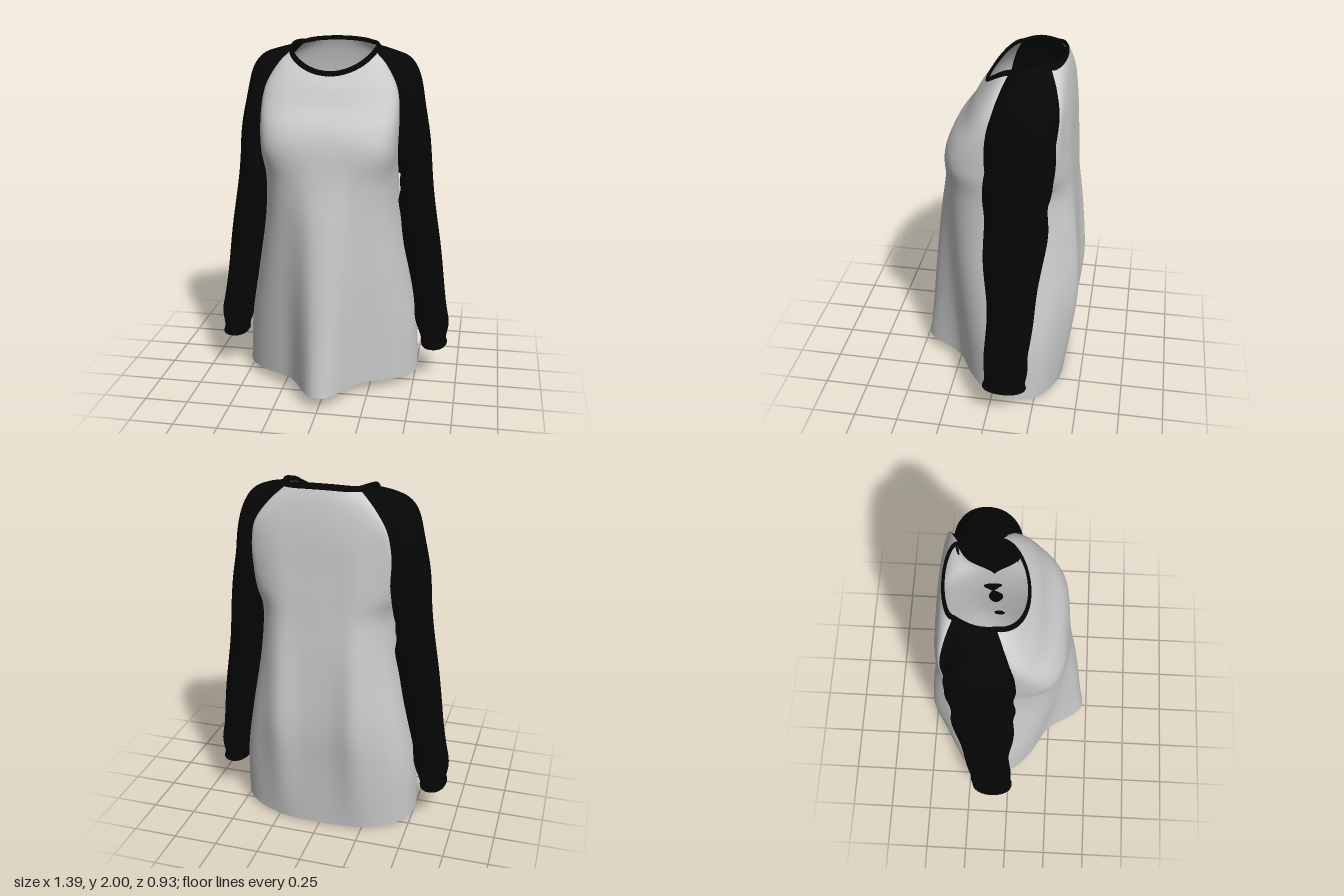
import * as THREE from 'three';
import { mergeGeometries, mergeVertices } from 'three/addons/utils/BufferGeometryUtils.js';

const V = (x, y, z) => new THREE.Vector3(x, y, z);

// Catmull-Rom blend of rows of numbers at position t (0 .. rows.length - 1)
function spline(rows, t) {
  const last = rows.length - 1;
  const k = Math.min(Math.floor(t), last - 1), f = t - k;
  const row = (i) => rows[Math.max(0, Math.min(last, i))];
  const [p, q, r, s] = [row(k - 1), row(k), row(k + 1), row(k + 2)];
  return q.map((v, i) => v + 0.5 * f * (r[i] - p[i]
    + f * (2 * p[i] - 5 * v + 4 * r[i] - s[i] + f * (3 * (v - r[i]) + s[i] - p[i]))));
}

// Skin over rows of points, optionally closed around each row
function skin(rows, closed) {
  const n = rows[0].length, index = [];
  for (let j = 0; j < rows.length - 1; j++) {
    for (let i = 0; i < (closed ? n : n - 1); i++) {
      const a = j * n + i, b = j * n + (i + 1) % n;
      index.push(a, b, b + n, a, b + n, a + n);
    }
  }
  const g = new THREE.BufferGeometry().setFromPoints(rows.flat());
  g.setIndex(index);
  return g;
}

// Panel rows: edge x, y, z | centre y, z | squareness | fold depth
const FRONT = [
  [0.515, 0.04, -0.10, 0.075, 0.26, 1.8, 0.21],
  [0.500, 0.35, -0.12, 0.36, 0.27, 2.0, 0.165],
  [0.450, 0.65, -0.13, 0.66, 0.285, 2.3, 0.12],
  [0.390, 1.00, -0.13, 1.00, 0.295, 2.7, 0.07],
  [0.372, 1.25, -0.12, 1.25, 0.30, 3.1, 0.025],
  [0.378, 1.40, 0.00, 1.45, 0.302, 3.6, 0],
  [0.385, 1.55, 0.03, 1.56, 0.268, 3.2, 0],
  [0.383, 1.68, 0.02, 1.67, 0.190, 2.8, 0],
  [0.360, 1.78, 0.00, 1.76, 0.140, 2.4, 0],
  [0.300, 1.88, -0.03, 1.805, 0.108, 2.1, 0],
  [0.240, 1.94, -0.06, 1.828, 0.09, 2, 0],
];
const BACK = [
  [0.515, 0.04, -0.10, 0.00, -0.39, 2.5, 0.005],
  [0.500, 0.35, -0.12, 0.35, -0.415, 2.6, 0.03],
  [0.450, 0.65, -0.13, 0.65, -0.435, 2.7, 0.042],
  [0.390, 1.00, -0.13, 1.00, -0.425, 2.6, 0.035],
  [0.372, 1.25, -0.12, 1.25, -0.41, 2.6, 0.02],
  [0.375, 1.40, -0.26, 1.41, -0.40, 2.4, 0.012],
  [0.380, 1.55, -0.31, 1.56, -0.39, 2.2, 0.01],
  [0.375, 1.68, -0.33, 1.70, -0.383, 2, 0.005],
  [0.350, 1.79, -0.335, 1.82, -0.37, 2, 0],
  [0.280, 1.89, -0.31, 1.92, -0.352, 2, 0],
  [0.200, 1.965, -0.272, 1.98, -0.333, 2, 0],
];
const TOP = 10, ARMPIT = 4, COLS = 56;

// One row across a panel, from the right edge to the left edge
function panelRow(table, t) {
  const [xe, ye, ze, yc, zc, n, fold] = spline(table, t);
  const pts = [];
  for (let i = 0; i <= COLS; i++) {
    const a = (i / COLS - 0.5) * Math.PI;
    const s = Math.sin(a), c = Math.abs(Math.cos(a));
    const r = (Math.abs(s) ** n + c ** n) ** (-1 / n);
    const x = xe * s * r;
    const d = table === FRONT ? fold * Math.exp(-((Math.abs(x) / 0.145) ** 2.7))
      : -fold * Math.exp(-(((Math.abs(x) - 0.22) / 0.09) ** 2));
    pts.push(V(x, ye + (yc - ye) * c ** 1.6, ze + (zc - ze) * c * r + d * Math.min(1, c * 3)));
  }
  return table === BACK ? pts.reverse() : pts;
}

function panel(table) {
  const rows = [];
  for (let j = 0; j <= 80; j++) rows.push(panelRow(table, j / 80 * TOP));
  return skin(rows, false);
}

const seam = (table, t) => V(...spline(table, t).slice(0, 3));

// Side of the neck opening between the front and back raglan seams
function neckSide(f) {
  const p = seam(FRONT, TOP).lerp(seam(BACK, TOP), f);
  p.x += 0.028 * Math.sin(f * Math.PI);
  p.y += 0.012 * Math.sin(f * Math.PI);
  return p;
}

// Sleeve rings: inner x, y | outer x, y | centre z, half depth
const SLEEVE = [
  [0.390, 1.23, 0.340, 1.943, -0.145, 0.175],
  [0.388, 1.20, 0.422, 1.908, -0.147, 0.183],
  [0.386, 1.17, 0.472, 1.830, -0.145, 0.180],
  [0.384, 1.14, 0.510, 1.690, -0.138, 0.170],
  [0.380, 1.09, 0.538, 1.510, -0.135, 0.172],
  [0.384, 1.02, 0.563, 1.290, -0.133, 0.168],
  [0.405, 0.88, 0.600, 1.000, -0.130, 0.155],
  [0.444, 0.69, 0.639, 0.720, -0.120, 0.132],
  [0.482, 0.48, 0.676, 0.460, -0.110, 0.122],
  [0.496, 0.36, 0.692, 0.340, -0.105, 0.125],
  [0.530, 0.255, 0.682, 0.250, -0.100, 0.116],
  [0.535, 0.210, 0.688, 0.218, -0.098, 0.125],
];
const AROUND = 48;

function sleeveGeometry() {
  // Armhole loop: up the front seam, past the neck, down the back seam
  const armhole = [];
  for (let i = 0; i < AROUND; i++) {
    if (i <= 20) armhole.push(seam(FRONT, ARMPIT + (TOP - ARMPIT) * i / 20));
    else if (i < 28) armhole.push(neckSide((i - 20) / 8));
    else armhole.push(seam(BACK, TOP - (TOP - ARMPIT) * (i - 28) / 20));
  }
  const rings = SLEEVE.map(([xi, yi, xo, yo, zc, zr]) => armhole.map((_, i) => {
    const a = i / AROUND * 2 * Math.PI, s = Math.sin(a), c = Math.cos(a);
    const r = (Math.abs(s) ** 2.15 + Math.abs(c) ** 2.15) ** (-1 / 2.15);
    const u = 0.5 - 0.5 * c * r;
    return V(xi + (xo - xi) * u, yi + (yo - yi) * u, zc + zr * s * r);
  }));
  const flat = [armhole, ...rings].map((ring) => ring.flatMap((p) => p.toArray()));
  const rows = [], steps = 84;
  for (let j = steps; j >= 0; j--) {
    const f = j / steps, row = spline(flat, f * (flat.length - 1));
    // Soft creases that fade out at both ends
    const amp = 0.007 * Math.sin(f * Math.PI);
    rows.push(armhole.map((_, i) => {
      const a = i / AROUND * 2 * Math.PI;
      const w = amp * Math.sin(f * 32 + 2 * Math.sin(a));
      return V(row[3 * i] - w * Math.cos(a) * 0.5, row[3 * i + 1], row[3 * i + 2] + w * Math.sin(a));
    }));
  }
  return skin(rows, true);
}

// Band around the neck opening, rolled over at its rim
function neckbandGeometry() {
  const side = [1, 2, 3, 4, 5, 6, 7].map((i) => neckSide(i / 8));
  const mirrored = side.map((p) => V(-p.x, p.y, p.z)).reverse();
  const loop = [...panelRow(FRONT, TOP), ...side, ...panelRow(BACK, TOP), ...mirrored];
  const profile = [[1.025, -0.009], [1.02, 0.004], [0.98, 0.018], [0.95, 0.021], [0.94, 0.014], [0.95, -0.004]];
  return skin(profile.map(([k, lift]) => loop.map((p) =>
    V(p.x * k, p.y + lift, -0.12 + (p.z + 0.12) * k))), true);
}

export function createModel() {
  const group = new THREE.Group();
  const grey = new THREE.MeshStandardMaterial({ color: 0xcccccc, side: THREE.DoubleSide });
  const black = new THREE.MeshStandardMaterial({ color: 0x060606, side: THREE.DoubleSide });
  const add = (name, geometry, material) => {
    geometry.computeVertexNormals();
    const mesh = new THREE.Mesh(geometry, material);
    mesh.name = name;
    group.add(mesh);
    return mesh;
  };

  // Front and back panels, joined at the side seams
  add('body', mergeVertices(mergeGeometries([panel(FRONT), panel(BACK)])), grey);

  // Raglan sleeves
  add('leftSleeve', sleeveGeometry(), black);
  add('rightSleeve', sleeveGeometry(), black).scale.x = -1;

  add('neckband', neckbandGeometry(), black);
  return group;
}
